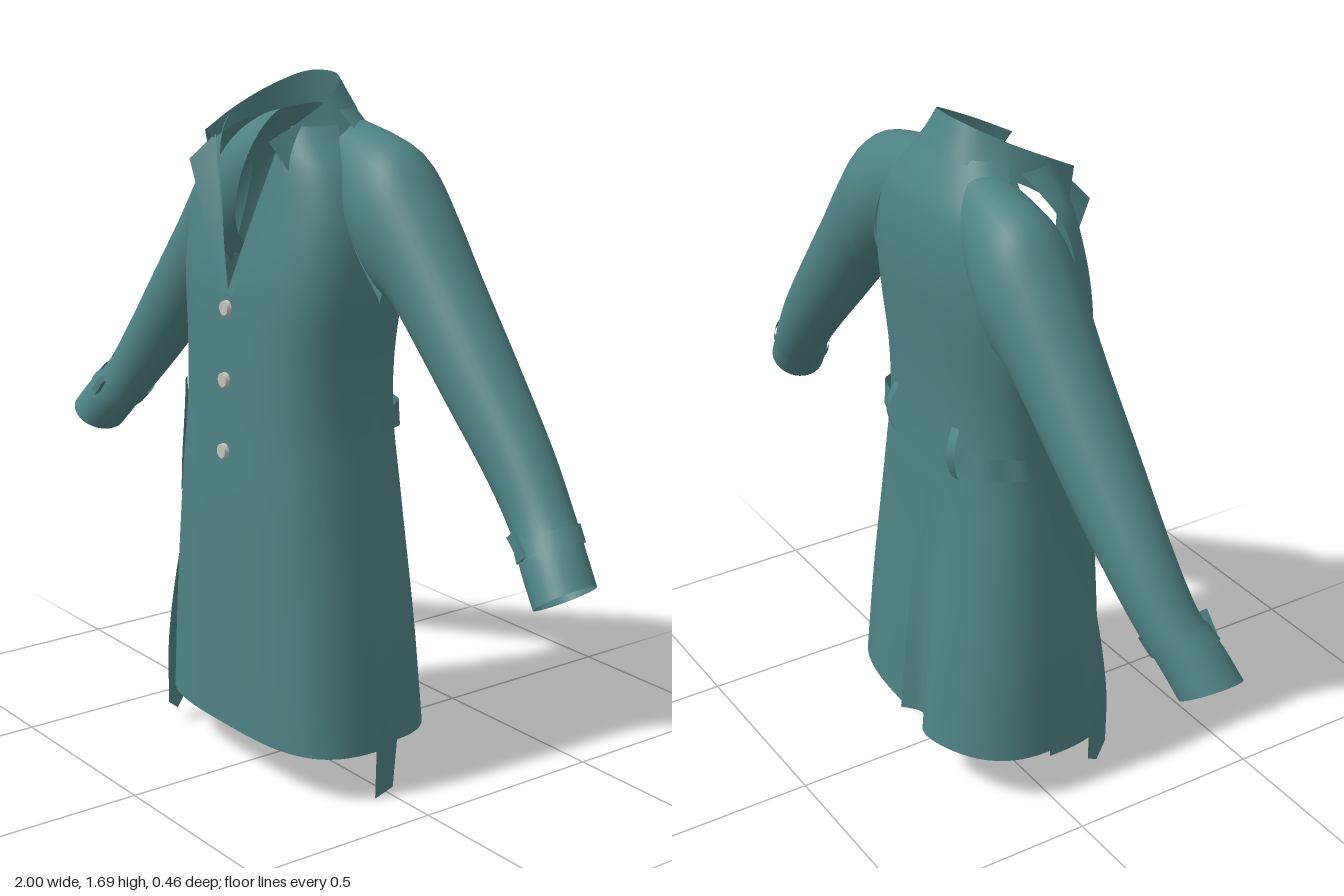
import * as THREE from 'three';
import { mergeVertices } from 'three/addons/utils/BufferGeometryUtils.js';

const { PI, sin, cos, min, max, pow, abs } = Math;

// smooth interpolation of rows [key, ...values]
function interp(rows, k) {
  const n = rows.length - 1;
  let i = 0;
  while (i < n - 1 && k > rows[i + 1][0]) i++;
  const a = rows[i], b = rows[i + 1], p = rows[max(0, i - 1)], q = rows[min(n, i + 2)];
  const h = b[0] - a[0], t = min(1, max(0, (k - a[0]) / h)), t2 = t * t, t3 = t2 * t;
  return a.slice(1).map((_, j) => {
    const c = j + 1;
    const ma = (b[c] - p[c]) / (b[0] - p[0]) * h, mb = (q[c] - a[c]) / (q[0] - a[0]) * h;
    return (2 * t3 - 3 * t2 + 1) * a[c] + (t3 - 2 * t2 + t) * ma + (3 * t2 - 2 * t3) * b[c] + (t3 - t2) * mb;
  });
}

// coat sections: height, half width, front depth, back depth
const BODY = [
  [0.12, 0.355, 0.238, -0.24], [0.4, 0.335, 0.234, -0.205], [0.7, 0.302, 0.23, -0.165],
  [0.9, 0.277, 0.224, -0.146], [1.05, 0.278, 0.22, -0.146], [1.2, 0.297, 0.213, -0.158],
  [1.3, 0.302, 0.2, -0.167], [1.4, 0.29, 0.182, -0.168], [1.5, 0.25, 0.165, -0.155],
  [1.56, 0.195, 0.15, -0.13], [1.62, 0.14, 0.13, -0.095],
];

// sleeve rings: index, upper x y, lower x y, front z, back z
const SLEEVE = [
  [0, 0.12, 1.6, 0.27, 1.24, 0.045, -0.145], [1, 0.24, 1.575, 0.31, 1.2, 0.063, -0.168],
  [2, 0.33, 1.54, 0.33, 1.19, 0.06, -0.168], [3, 0.42, 1.44, 0.365, 1.165, 0.052, -0.16],
  [4, 0.52, 1.31, 0.43, 1.1, 0.045, -0.15], [5, 0.66, 1.135, 0.53, 1.0, 0.04, -0.138],
  [6, 0.8, 0.96, 0.66, 0.87, 0.033, -0.12], [7, 0.89, 0.84, 0.76, 0.77, 0.04, -0.1],
  [8, 0.95, 0.775, 0.825, 0.7, 0.065, -0.08], [9, 1.0, 0.715, 0.885, 0.635, 0.082, -0.065],
];

const FRONT_P = 0.6, BACK_P = 0.8;

// point on the coat surface; angle 0 is the side, PI/2 centre front, -PI/2 centre back
function surf(s, a, y, off = 0) {
  const [hw, zf, zb] = interp(BODY, y);
  const p = a >= 0 ? FRONT_P : BACK_P;
  const x = s * (hw + off) * pow(max(0, cos(a)), p);
  let z = (a >= 0 ? zf + off : zb - off) * pow(abs(sin(a)), p);
  if (a < 0) {
    // skirt folds and the step at the back vent
    const k = min(1, max(0, (0.8 - y) / 0.68)), w = pow(abs(sin(a)), 2);
    z += k * w * (s < 0 ? 0.055 * Math.exp(-pow((x + 0.05) / 0.05, 2)) : 0.035);
  }
  return [x, y, z];
}

function sheet(fn, nu, nv) {
  const g = new THREE.PlaneGeometry(1, 1, nu, nv);
  const pos = g.attributes.position, uv = g.attributes.uv;
  for (let i = 0; i < pos.count; i++) pos.setXYZ(i, ...fn(uv.getX(i), uv.getY(i)));
  g.deleteAttribute('uv');
  g.deleteAttribute('normal');
  const m = mergeVertices(g, 1e-5);
  m.computeVertexNormals();
  return m;
}

const curve = pts => new THREE.CatmullRomCurve3(pts.map(p => new THREE.Vector3(...p)));

// ruled strip between two curves
function ruled(a, b, n) {
  const A = curve(a), B = curve(b);
  return sheet((u, v) => A.getPoint(u).lerp(B.getPoint(u), v).toArray(), n, 4);
}

const ease = u => u * u * (3 - 2 * u);
const lerp = THREE.MathUtils.lerp;
const armhole = y => (y <= 1.2 ? 0 : sin(PI * min(1, (y - 1.2) / 0.42)));
const neckX = y => (y <= 1.2 ? 0 : 0.125 * min(1, (y - 1.2) / 0.36));

function frontPanel(s) {
  return sheet((u, v) => {
    const y = lerp(0.12, 1.59, v), [hw, zf] = interp(BODY, y);
    const inner = Math.acos(pow(min(1, neckX(y) / hw), 1 / FRONT_P));
    const outer = Math.asin(pow(min(1, 0.09 * armhole(y) / zf), 1 / FRONT_P));
    return surf(s, lerp(min(outer, inner), inner, ease(u)), y);
  }, 28, 74);
}

function backPanel(s) {
  return sheet((u, v) => {
    const y = lerp(0.135, 1.62, v), zb = interp(BODY, y)[2];
    const outer = Math.asin(pow(min(1, 0.05 * armhole(y) / -zb), 1 / BACK_P));
    return surf(s, -lerp(outer, PI / 2, ease(u)), y);
  }, 28, 74);
}

function sleevePart(s, k0, k1, grow, n) {
  return sheet((u, v) => {
    const [ux, uy, lx, ly, zf, zb] = interp(SLEEVE, lerp(k0, k1, v));
    const a = PI + u * 2 * PI, c = cos(a) * (1 + grow) / 2, h = (zf - zb) / 2;
    return [s * ((ux + lx) / 2 + c * (ux - lx)), (uy + ly) / 2 + c * (uy - ly),
      (zf + zb) / 2 + sin(a) * h * (1 + grow)];
  }, 36, n);
}

export function createModel() {
  const coat = new THREE.Group();
  coat.name = 'coat';
  const cloth = new THREE.MeshStandardMaterial({ color: 0x4d8184, side: THREE.DoubleSide });
  cloth.name = 'teal cloth';
  const silver = new THREE.MeshStandardMaterial({ color: 0xc4c2be });
  silver.name = 'pale button';
  const add = (name, geo, mat = cloth) => {
    const m = new THREE.Mesh(geo, mat);
    m.name = name;
    coat.add(m);
    return m;
  };

  for (const s of [1, -1]) {
    const side = s > 0 ? 'left' : 'right';
    add(side + 'FrontPanel', frontPanel(s));
    add(side + 'BackPanel', backPanel(s));

    // sleeve with a strapped cuff
    add(side + 'Sleeve', sleevePart(s, 0, 9, 0, 54));
    add(side + 'CuffStrap', sleevePart(s, 7.25, 7.75, 0.07, 4));
    const loop = add(side + 'CuffLoop', new THREE.BoxGeometry(0.02, 0.06, 0.012));
    loop.position.set(s * 0.85, 0.775, 0.064);
    loop.rotation.z = s * 0.75;

    // lapel; the right one stands further off the chest
    const lift = s < 0 ? 0.05 : 0.015;
    add(side + 'Lapel', ruled(
      [[s * 0.002, 1.2, 0.218], [s * 0.06, 1.37, 0.19], [s * 0.125, 1.55, 0.16]],
      [[s * 0.02, 1.19, 0.22], [s * 0.1, 1.35, 0.185 + lift * 0.5], [s * 0.165, 1.49, 0.158 + lift]], 16));

    // slanted pocket welt
    add(side + 'PocketWelt', sheet((u, v) =>
      surf(s, lerp(0.42, 0.66, v) + 0.2 * u, lerp(0.64, 0.94, v), 0.006), 4, 12));

    // belt loop at the back
    add(side + 'BeltLoop', sheet((u, v) =>
      surf(s, lerp(-1.2, -1.1, u), lerp(0.85, 0.98, v), 0.022 * sin(PI * v)), 2, 8));

    // back belt half, narrowing towards the side
    add(side + 'Belt', sheet((u, v) =>
      surf(s, -u * PI / 2, 0.91 + (v - 0.5) * lerp(0.05, 0.075, u), 0.01 + 0.004 * sin(u * 18)), 28, 3));
  }

  // hanging belt ends
  add('leftBeltEnd', ruled(
    [[0.285, 0.93, -0.03], [0.315, 0.6, -0.035], [0.345, 0.25, -0.035], [0.33, 0, -0.03]],
    [[0.288, 0.93, 0.02], [0.322, 0.6, 0.035], [0.357, 0.25, 0.042], [0.356, 0, 0.045]], 20));
  add('rightBeltEnd', ruled(
    [[-0.287, 0.93, -0.01], [-0.31, 0.6, 0.06], [-0.352, 0.25, 0.11], [-0.35, 0.06, 0.12]],
    [[-0.287, 0.93, 0.04], [-0.308, 0.6, 0.13], [-0.325, 0.25, 0.185], [-0.31, 0.06, 0.2]], 20));
  add('rightBeltTip', ruled([[-0.35, 0.06, 0.12], [-0.33, 0.028, 0.16]],
    [[-0.31, 0.06, 0.2], [-0.33, 0.028, 0.16]], 4));

  // turned-down collar and its inner stand
  const mirror = half => [...half.map(([x, y, z]) => [-x, y, z]), ...half.slice(0, -1).reverse()];
  const fold = mirror([[0.128, 1.56, 0.188], [0.138, 1.605, 0.1], [0.122, 1.65, 0.01], [0.07, 1.685, -0.055], [0, 1.693, -0.07]]);
  const edge = mirror([[0.172, 1.465, 0.14], [0.178, 1.54, 0.06], [0.16, 1.585, -0.02], [0.09, 1.612, -0.092], [0, 1.617, -0.108]]);
  const neck = mirror([[0.125, 1.54, 0.165], [0.132, 1.57, 0.09], [0.125, 1.59, 0], [0.07, 1.61, -0.075], [0, 1.615, -0.09]]);
  add('collar', ruled(edge, fold, 48));
  add('collarStand', ruled(fold, neck, 48));

  // buttons
  for (const y of [1.16, 0.988, 0.815]) {
    const b = add('button', new THREE.CylinderGeometry(0.017, 0.019, 0.012, 16), silver);
    b.rotation.x = PI / 2;
    b.position.set(-0.003, y, interp(BODY, y)[1] + 0.005);
  }
  return coat;
}
